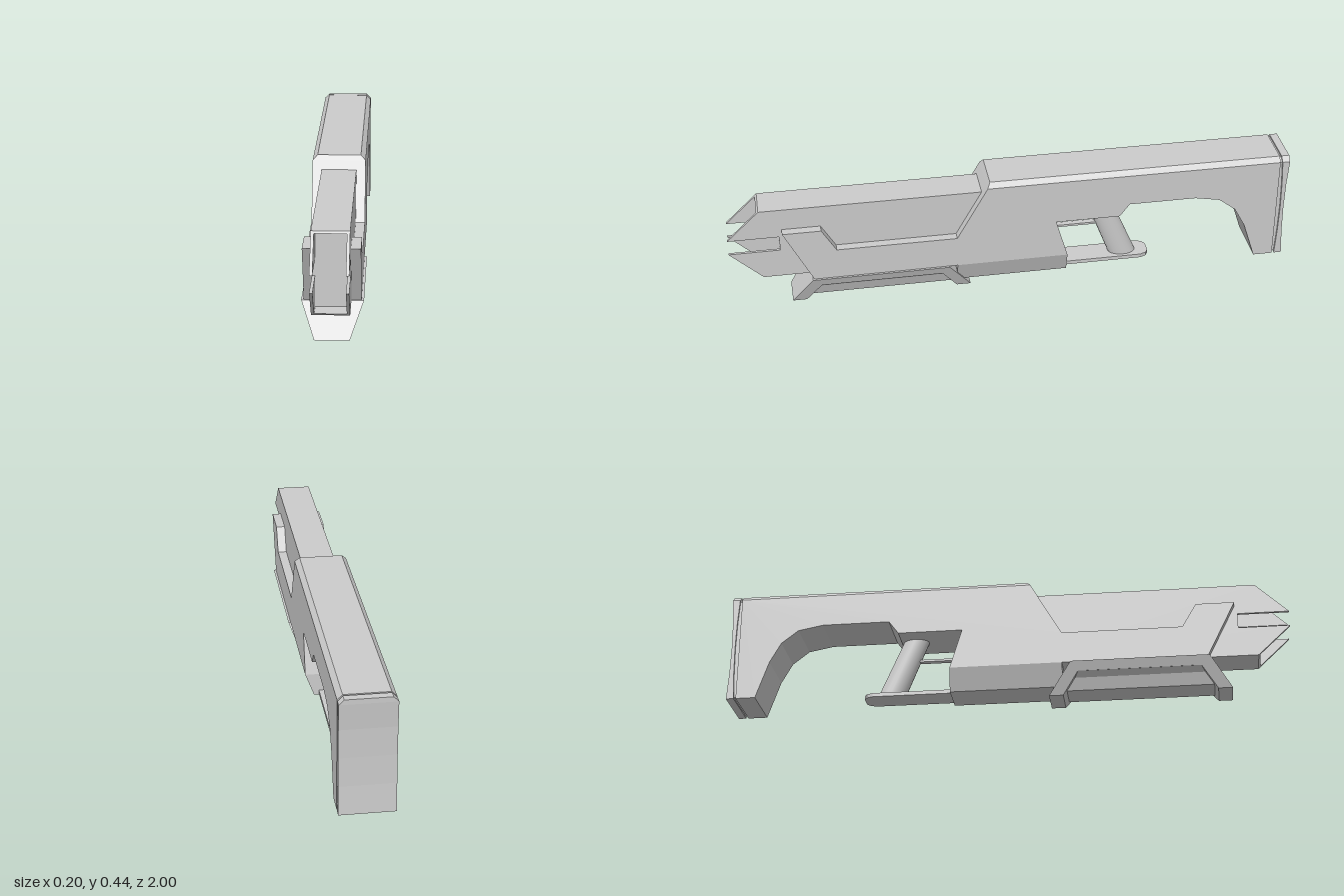
import * as THREE from 'three';

const material = new THREE.MeshStandardMaterial({ color: 0xcccccc, flatShading: true });
const smooth = new THREE.MeshStandardMaterial({ color: 0xcccccc });

// Side profile of [z, y] points, extruded to a width centred on x
function sideExtrude(points, width, x = 0) {
  const shape = new THREE.Shape(points.map(([z, y]) => new THREE.Vector2(z, y)));
  return new THREE.ExtrudeGeometry(shape, { depth: width, bevelEnabled: false })
    .translate(0, 0, -width / 2).rotateY(-Math.PI / 2).translate(x, 0, 0);
}

// Rectangular layers [y, zFront, zBack, halfWidth], bottom to top, joined into a solid
function stack(layers) {
  const pos = [];
  const loops = layers.map(([y, f, b, h]) => [[h, y, f], [h, y, b], [-h, y, b], [-h, y, f]]);
  const quad = (a, b, c, d) => pos.push(...a, ...b, ...c, ...a, ...c, ...d);
  for (let k = 0; k < loops.length - 1; k++) {
    for (let i = 0; i < 4; i++) {
      const j = (i + 1) % 4;
      quad(loops[k][i], loops[k][j], loops[k + 1][j], loops[k + 1][i]);
    }
  }
  quad(...loops[loops.length - 1]);
  quad(...[...loops[0]].reverse());
  const g = new THREE.BufferGeometry();
  g.setAttribute('position', new THREE.Float32BufferAttribute(pos, 3));
  g.computeVertexNormals();
  return g;
}

export function createModel() {
  const model = new THREE.Group();
  const add = (name, geometry, mat = material) => {
    const mesh = new THREE.Mesh(geometry, mat);
    mesh.name = name;
    model.add(mesh);
    return mesh;
  };

  // Main shell with shoulder stock, arch and stepped front cheeks
  add('body', sideExtrude([
    [0.09, 0.42], [-0.965, 0.42], [-0.965, 0.03], [-0.895, 0.03], [-0.85, 0.165],
    [-0.81, 0.238], [-0.75, 0.285], [-0.66, 0.302], [-0.42, 0.302], [-0.385, 0.255],
    [-0.155, 0.255], [-0.198, 0.11], [0.71, 0.11], [0.81, 0.31], [0.675, 0.31],
    [0.625, 0.225], [0.2, 0.225],
  ], 0.186));
  add('bodyTop', stack([[0.42, 0.09, -0.965, 0.093], [0.437, 0.08, -0.965, 0.076]]));
  add('belly', stack([[0.03, 0.2, -0.2, 0.062], [0.11, 0.2, -0.198, 0.093]]));

  // Butt plate with a narrow groove in front of it
  add('buttGroove', stack([[0.036, -0.96, -0.98, 0.086], [0.415, -0.96, -0.98, 0.086],
    [0.43, -0.96, -0.98, 0.072]]));
  add('buttPlate', stack([
    [0.03, -0.973, -1, 0.093], [0.13, -0.978, -0.994, 0.093], [0.23, -0.98, -0.992, 0.093],
    [0.33, -0.978, -0.994, 0.093], [0.42, -0.973, -1, 0.093], [0.437, -0.972, -1, 0.076],
  ]));

  // Barrel housing with a forked, hollow muzzle
  add('barrelCore', sideExtrude([[0, 0.117], [0.82, 0.117], [0.82, 0.39], [0, 0.39]], 0.102));
  for (const side of [-1, 1]) {
    add(side > 0 ? 'leftBarrelWall' : 'rightBarrelWall', sideExtrude([
      [0, 0.117], [0.885, 0.117], [1, 0.225], [0.82, 0.225],
      [0.82, 0.28], [1, 0.28], [0.885, 0.39], [0, 0.39],
    ], 0.01, side * 0.056));
  }
  add('muzzleRoof', sideExtrude([[0.82, 0.383], [0.892, 0.383], [0.885, 0.39], [0.82, 0.39]], 0.102));
  add('muzzleFloor', sideExtrude([[0.82, 0.117], [0.885, 0.117], [0.892, 0.124], [0.82, 0.124]], 0.102));

  // Fore grip: bridge frame narrowing downwards, with a recessed core
  const frame = sideExtrude([
    [0.715, 0.11], [0.23, 0.11], [0.15, 0], [0.2, 0], [0.255, 0.077],
    [0.685, 0.077], [0.74, 0], [0.79, 0],
  ], 2);
  const p = frame.attributes.position;
  for (let i = 0; i < p.count; i++) {
    p.setX(i, p.getX(i) * THREE.MathUtils.lerp(0.057, 0.101, p.getY(i) / 0.11));
  }
  frame.computeVertexNormals();
  add('foreGripFrame', frame);
  add('foreGripCore', stack([
    [0.018, 0.735, 0.2, 0.05], [0.06, 0.7, 0.235, 0.066], [0.077, 0.685, 0.25, 0.087],
  ]));

  // Slanted oval grip
  const grip = new THREE.CylinderGeometry(1, 1, 0.22, 20);
  const q = grip.attributes.position;
  for (let i = 0; i < q.count; i++) {
    const t = (q.getY(i) + 0.11) / 0.22;
    q.setXYZ(i, q.getX(i) * 0.034, 0.04 + t * 0.22,
      q.getZ(i) * THREE.MathUtils.lerp(0.05, 0.046, t) + THREE.MathUtils.lerp(-0.42, -0.33, t));
  }
  grip.computeVertexNormals();
  add('grip', grip, smooth);

  // Guard plate under the grip with clipped rear corners
  const plate = new THREE.Shape([
    [-0.045, 0.19], [0.045, 0.19], [0.045, 0.48], [0.036, 0.502], [0.02, 0.512],
    [-0.02, 0.512], [-0.036, 0.502], [-0.045, 0.48],
  ].map(([x, y]) => new THREE.Vector2(x, y)));
  add('guardPlate', new THREE.ExtrudeGeometry(plate, { depth: 0.014, bevelEnabled: false })
    .rotateX(-Math.PI / 2).translate(0, 0.033, 0));

  // Trigger bar
  add('trigger', new THREE.BoxGeometry(0.02, 0.008, 0.16).translate(0, 0.18, -0.245));

  return model;
}
